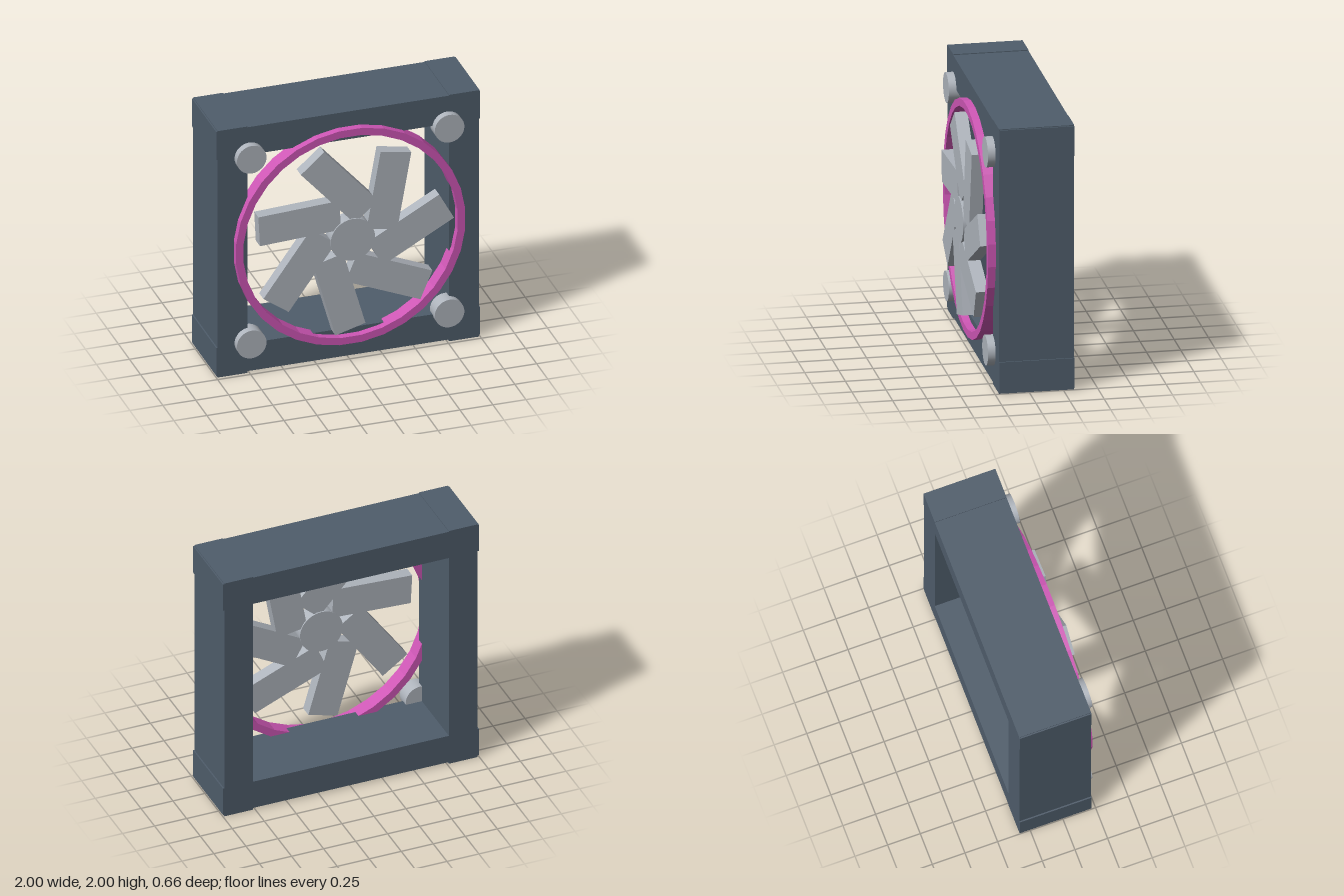
import * as THREE from 'three';

export function createModel() {
  const frameMat = new THREE.MeshStandardMaterial({ name: 'slate frame', color: 0x4f5d6b });
  const metalMat = new THREE.MeshStandardMaterial({ name: 'light grey metal', color: 0xafb5bd });
  const ringMat = new THREE.MeshStandardMaterial({ name: 'magenta ring', color: 0xcf57b6 });

  const model = new THREE.Group();
  model.name = 'coolingFan';
  const CY = 1.006; // height of the fan axis

  function add(name, geometry, material, x, y, z, parent = model) {
    const mesh = new THREE.Mesh(geometry, material);
    mesh.name = name;
    mesh.position.set(x, y, z);
    parent.add(mesh);
    return mesh;
  }

  // disc whose axis points to the front
  const disc = (radius, depth) =>
    new THREE.CylinderGeometry(radius, radius, depth, 32).rotateX(Math.PI / 2);

  // Square housing: two uprights and two slightly recessed, wider rails
  const depth = 0.55, frameZ = -0.055;
  for (const s of [-1, 1]) {
    add(s > 0 ? 'leftUpright' : 'rightUpright',
      new THREE.BoxGeometry(0.225, 2, depth), frameMat, s * 0.877, 1, frameZ);
    add(s > 0 ? 'topRail' : 'bottomRail',
      new THREE.BoxGeometry(2, 0.225, depth), frameMat, 0, 1.004 + s * 0.877, frameZ);
  }

  // Mounting pins at the four corners
  for (const sx of [-1, 1])
    for (const sy of [-1, 1])
      add('mountingPin', disc(0.112, 0.112), metalMat, sx * 0.75, CY + sy * 0.75, 0.22);

  // Faceted ring with a rectangular section
  const section = [[0.815, -0.056], [0.872, -0.056], [0.872, 0.056], [0.815, 0.056], [0.815, -0.056]]
    .map(([r, h]) => new THREE.Vector2(r, h));
  const ringGeo = new THREE.LatheGeometry(section, 32, Math.PI / 32)
    .rotateX(Math.PI / 2).toNonIndexed();
  ringGeo.computeVertexNormals();
  add('lightRing', ringGeo, ringMat, 0, CY, 0.22);

  // Rotor: hub and seven slanted blades
  const rotor = new THREE.Group();
  rotor.name = 'rotor';
  rotor.position.set(0, CY, 0.268);
  model.add(rotor);
  add('hub', disc(0.168, 0.115), metalMat, 0, 0, 0, rotor);
  const bladeGeo = new THREE.BoxGeometry(0.615, 0.236, 0.095);
  for (let i = 0; i < 7; i++) {
    const a = (i / 7) * Math.PI * 2;
    const blade = add('blade', bladeGeo, metalMat, 0.444 * Math.cos(a), 0.444 * Math.sin(a), 0, rotor);
    blade.rotation.z = a + 0.5;
  }

  return model;
}
